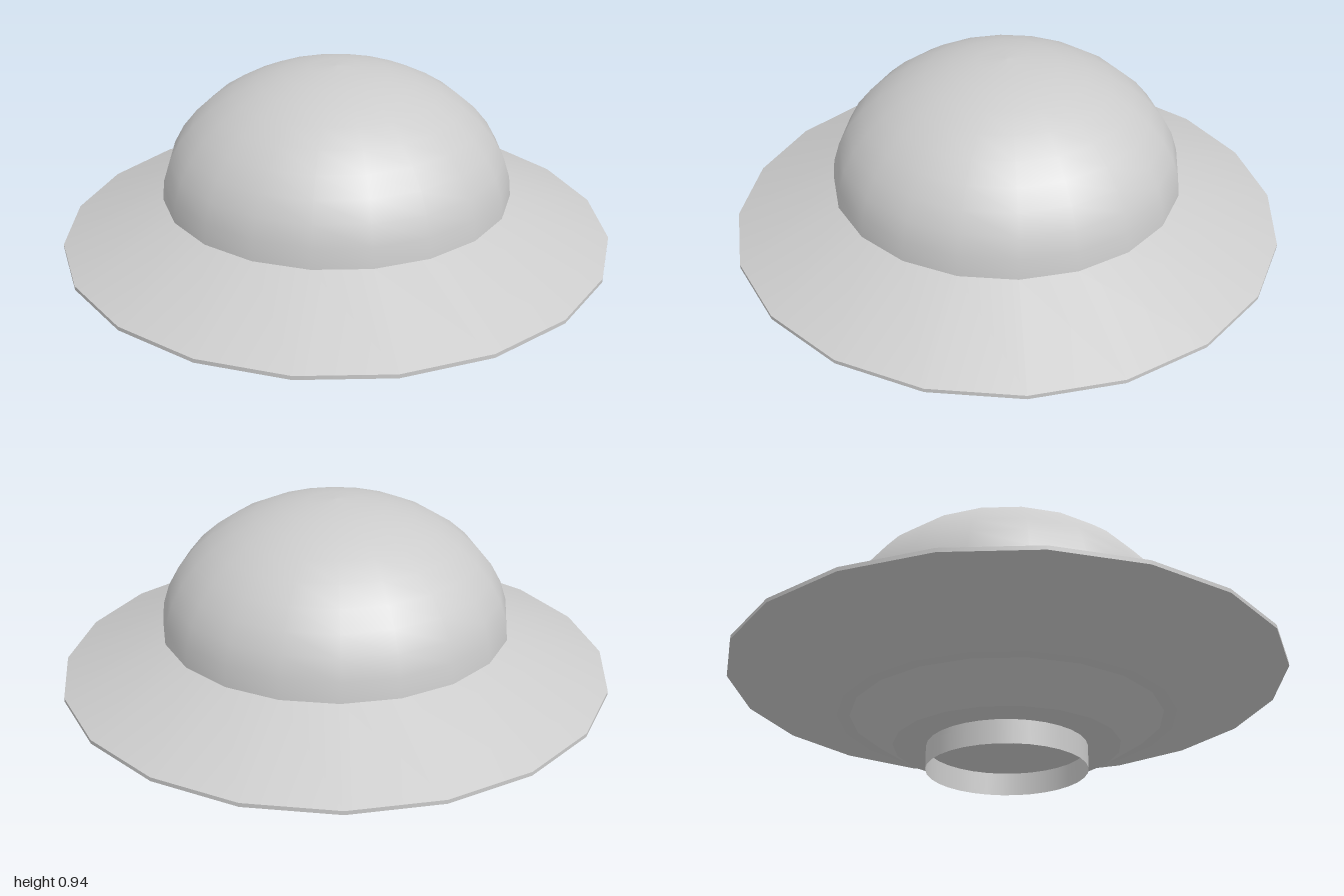
import * as THREE from 'three';

const SIDES = 20;

export function createModel() {
  const model = new THREE.Group();
  model.name = 'saucer';
  const material = new THREE.MeshStandardMaterial({ color: 0xcccccc });
  const openMaterial = new THREE.MeshStandardMaterial({ color: 0xcccccc, side: THREE.DoubleSide });

  // Profiles run from bottom to top as [radius, height]
  function addLathe(name, profile, sides = SIDES, mat = material) {
    const points = profile.map(([r, y]) => new THREE.Vector2(r, y));
    const mesh = new THREE.Mesh(new THREE.LatheGeometry(points, sides), mat);
    mesh.name = name;
    model.add(mesh);
  }

  // Hull: one band per surface keeps the rims sharp and the sides smooth
  const hull = [[0, 0.085], [0.405, 0.085], [0.56, 0.185], [0.605, 0.185], [1, 0.316], [1, 0.33], [0.632, 0.48]];
  const bands = ['bellyPlate', 'bellyCone', 'bellyLedge', 'discUnderside', 'discRim', 'discTop'];
  bands.forEach((name, i) => addLathe(name, [hull[i], hull[i + 1]]));

  // Dome: a flattened half sphere
  const rows = 10;
  const dome = [];
  for (let i = 0; i <= rows; i++) {
    const a = (i / rows) * Math.PI / 2;
    dome.push([i === rows ? 0 : 0.635 * Math.cos(a), 0.478 + 0.467 * Math.sin(a)]);
  }
  addLathe('dome', dome);

  // Open landing ring under the belly
  addLathe('landingRing', [[0.287, 0], [0.287, 0.085]], 32, openMaterial);

  return model;
}
